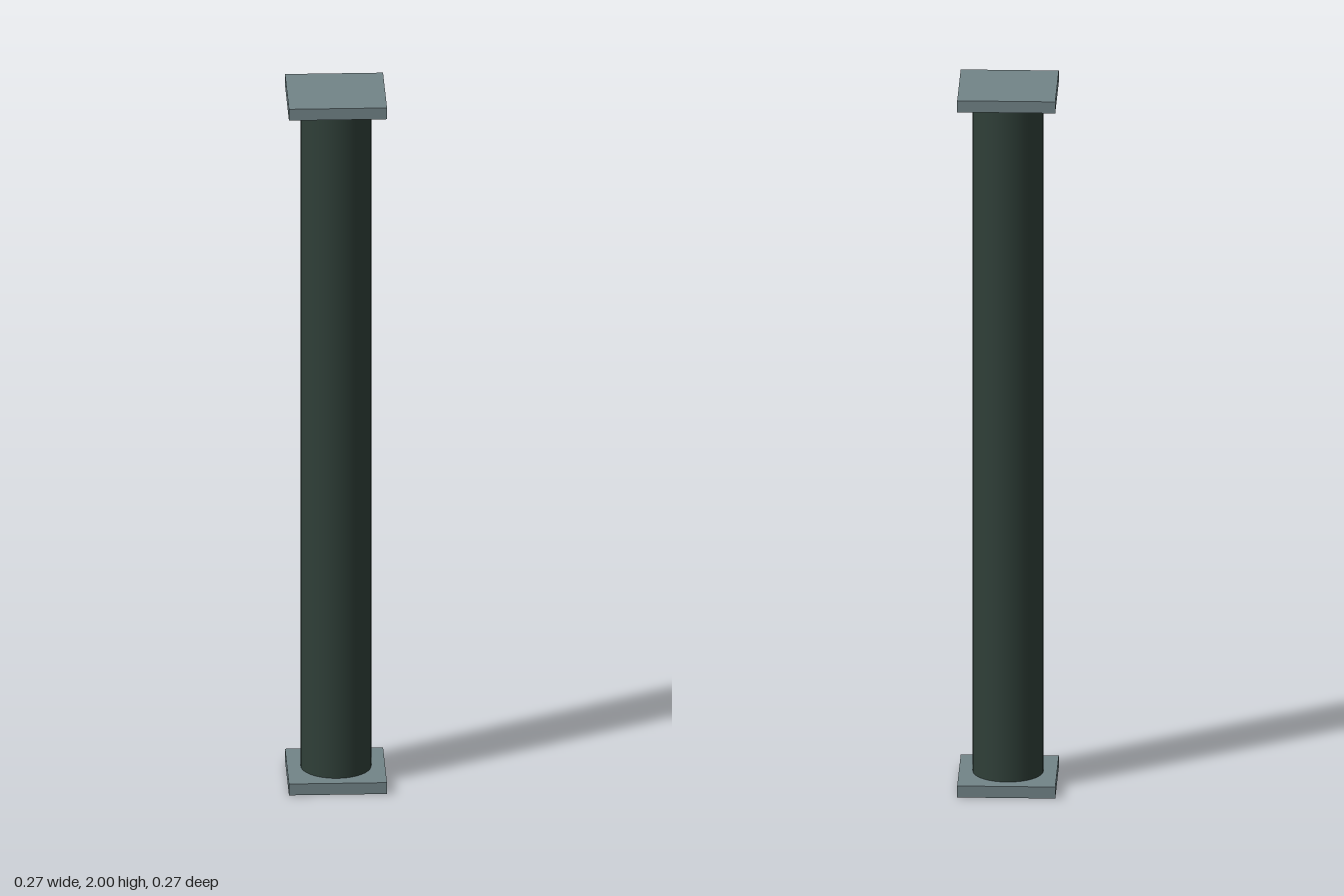
import * as THREE from 'three';

export function createModel() {
  const group = new THREE.Group();
  group.name = 'column';

  const plateMetal = new THREE.MeshStandardMaterial({ color: 0x728488 });
  plateMetal.name = 'plate grey';
  const shaftMetal = new THREE.MeshStandardMaterial({ color: 0x2f3f38 });
  shaftMetal.name = 'shaft dark green';

  const height = 2, plateWidth = 0.267, plateThickness = 0.033, shaftRadius = 0.096;

  // Round shaft, running between the two plates
  const shaftHeight = height - 2 * plateThickness;
  const shaft = new THREE.Mesh(
    new THREE.CylinderGeometry(shaftRadius, shaftRadius, shaftHeight, 48, 1, true), shaftMetal);
  shaft.name = 'shaft';
  shaft.position.y = height / 2;
  group.add(shaft);

  // Square end plates
  const plateGeometry = new THREE.BoxGeometry(plateWidth, plateThickness, plateWidth);
  for (const [name, y] of [
    ['basePlate', plateThickness / 2],
    ['topPlate', height - plateThickness / 2],
  ]) {
    const plate = new THREE.Mesh(plateGeometry, plateMetal);
    plate.name = name;
    plate.position.y = y;
    group.add(plate);
  }

  return group;
}
